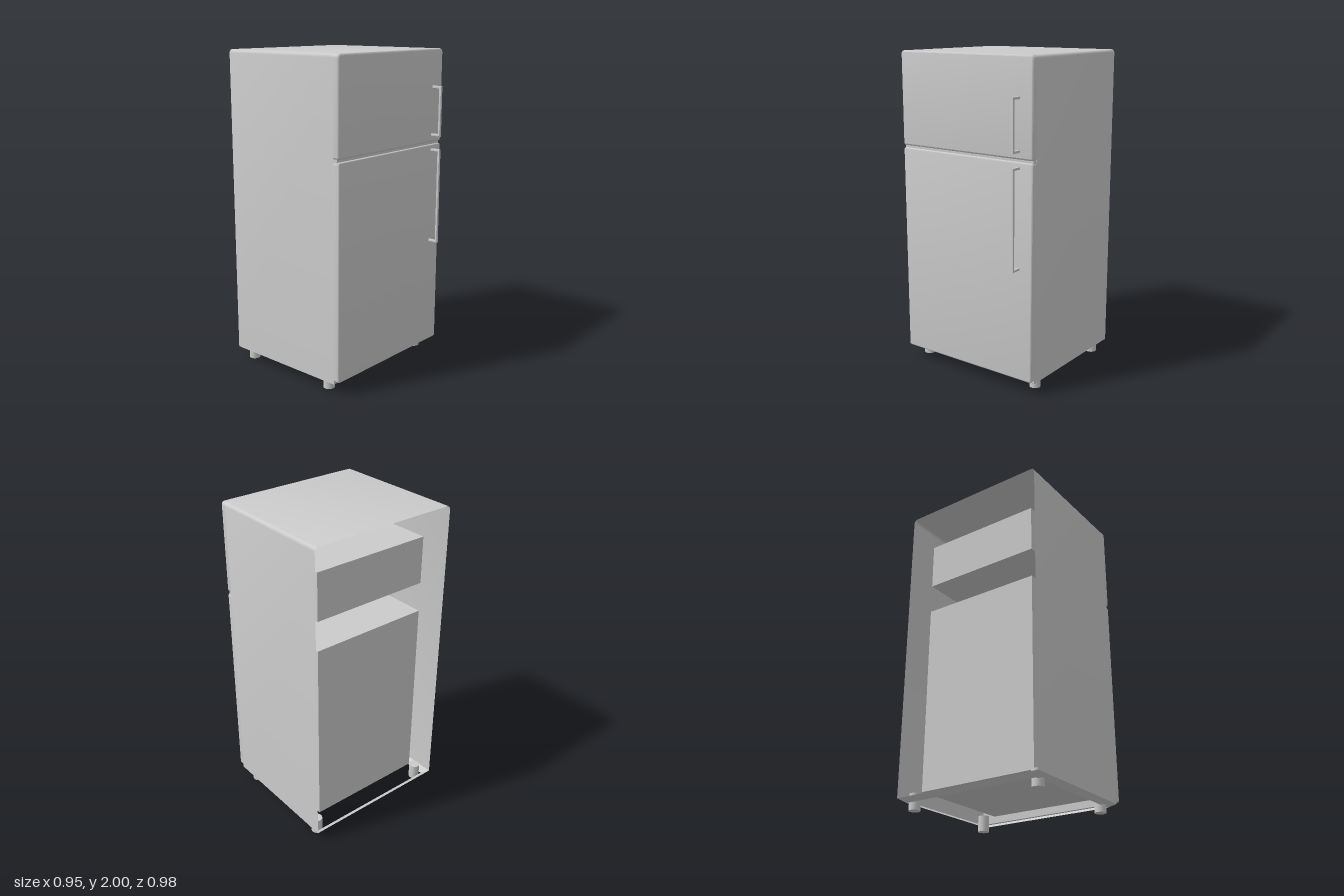
import * as THREE from 'three';
import { toCreasedNormals } from 'three/addons/utils/BufferGeometryUtils.js';

const HALF = 0.49, BACK = -0.475, FRONT = 0.37, FACE = 0.41;
const BASE = 0.065, SPLIT_LOW = 1.405, SPLIT_HIGH = 1.42, ROUND = 0.022;

export function createModel() {
  const group = new THREE.Group();
  const solid = new THREE.MeshStandardMaterial({ color: 0xcccccc });
  const sheet = new THREE.MeshStandardMaterial({ color: 0xcccccc, side: THREE.DoubleSide });

  const add = (name, geometry, material = solid) => {
    const mesh = new THREE.Mesh(geometry, material);
    mesh.name = name;
    group.add(mesh);
    return mesh;
  };

  // box given by its limits on each axis
  const block = (name, x0, x1, y0, y1, z0, z1) =>
    add(name, new THREE.BoxGeometry(x1 - x0, y1 - y0, z1 - z0))
      .position.set((x0 + x1) / 2, (y0 + y1) / 2, (z0 + z1) / 2);

  // thin strip of quads between two matching lists of points
  const strip = (a, b) => {
    const p = [];
    for (let i = 0; i < a.length - 1; i++) {
      p.push(...a[i], ...a[i + 1], ...b[i], ...a[i + 1], ...b[i + 1], ...b[i]);
    }
    const g = new THREE.BufferGeometry();
    g.setAttribute('position', new THREE.Float32BufferAttribute(p, 3));
    return toCreasedNormals(g, 0.6);
  };

  // cabinet shell: two sides and top with rounded edges, open at back and bottom
  const profile = [[BASE, -HALF]];
  for (const side of [-1, 1]) {
    for (let i = 0; i <= 4; i++) {
      const t = (side < 0 ? i : 4 - i) / 4 * Math.PI / 2;
      profile.push([2 - ROUND + ROUND * Math.sin(t), side * (HALF - ROUND + ROUND * Math.cos(t))]);
    }
  }
  profile.push([BASE, HALF]);
  const section = (x) => profile.map(([y, z]) => [x, y, z]);
  add('cabinetShell', strip(section(BACK), section(FRONT)), sheet);

  // sloping skirt around the open bottom
  const ring = (inset, y) => {
    const x0 = BACK + inset, x1 = FRONT - inset, z = HALF - inset;
    return [[x1, y, -z], [x1, y, z], [x0, y, z], [x0, y, -z], [x1, y, -z]];
  };
  add('baseSkirt', strip(ring(0, BASE), ring(0.04, 0.04)), sheet);

  // front frame behind the doors and the strip in the gap between them
  block('frontFrame', 0.35, FRONT, BASE, 1.97, -0.487, 0.487);
  block('doorDivider', FRONT - 0.01, 0.395, SPLIT_LOW - 0.01, SPLIT_HIGH + 0.01, -0.486, 0.486);

  // inner compartments, seen through the open back
  block('freezerLiner', -0.37, 0.36, 1.5, 1.8, -0.395, 0.395);
  block('fridgeLiner', -0.37, 0.36, 0.11, 1.31, -0.395, 0.395);

  // doors: rounded slabs with bevelled rims
  const door = (name, y0, y1, topRadius) => {
    const s = new THREE.Shape();
    const r = 0.014, t = topRadius, w = HALF;
    s.moveTo(-w + r, y0);
    s.lineTo(w - r, y0);
    s.absarc(w - r, y0 + r, r, -Math.PI / 2, 0);
    s.absarc(w - t, y1 - t, t, 0, Math.PI / 2);
    s.absarc(-w + t, y1 - t, t, Math.PI / 2, Math.PI);
    s.absarc(-w + r, y0 + r, r, Math.PI, Math.PI * 1.5);
    const bevel = 0.01;
    const g = new THREE.ExtrudeGeometry(s, {
      depth: FACE - FRONT - bevel, bevelSize: bevel, bevelOffset: -bevel,
      bevelThickness: bevel, bevelSegments: 3, curveSegments: 4,
    });
    g.rotateY(Math.PI / 2).translate(FRONT, 0, 0);
    add(name, toCreasedNormals(g, 0.6));
  };
  door('fridgeDoor', 0.08, SPLIT_LOW, 0.014);
  door('freezerDoor', SPLIT_HIGH, 2, ROUND);

  // U-shaped door handles
  const handle = (name, y0, y1) => {
    const s = new THREE.Shape();
    const x0 = FACE - 0.005, x1 = 0.475, t = 0.016;
    [[x0, y0], [x1, y0], [x1, y1], [x0, y1], [x0, y1 - t], [x1 - t, y1 - t], [x1 - t, y0 + t], [x0, y0 + t]]
      .forEach(([x, y], i) => (i ? s.lineTo(x, y) : s.moveTo(x, y)));
    const g = new THREE.ExtrudeGeometry(s, {
      depth: 0.008, bevelSize: 0.005, bevelOffset: -0.005, bevelThickness: 0.005, bevelSegments: 2,
    });
    g.translate(0, 0, -0.399);
    add(name, toCreasedNormals(g, 0.6));
  };
  handle('freezerHandle', 1.46, 1.775);
  handle('fridgeHandle', 0.77, 1.38);

  // feet
  for (const x of [-0.387, 0.278]) {
    for (const z of [-0.43, 0.43]) {
      add('foot', new THREE.CylinderGeometry(0.035, 0.035, 0.1, 20)).position.set(x, 0.05, z);
    }
  }
  return group;
}
